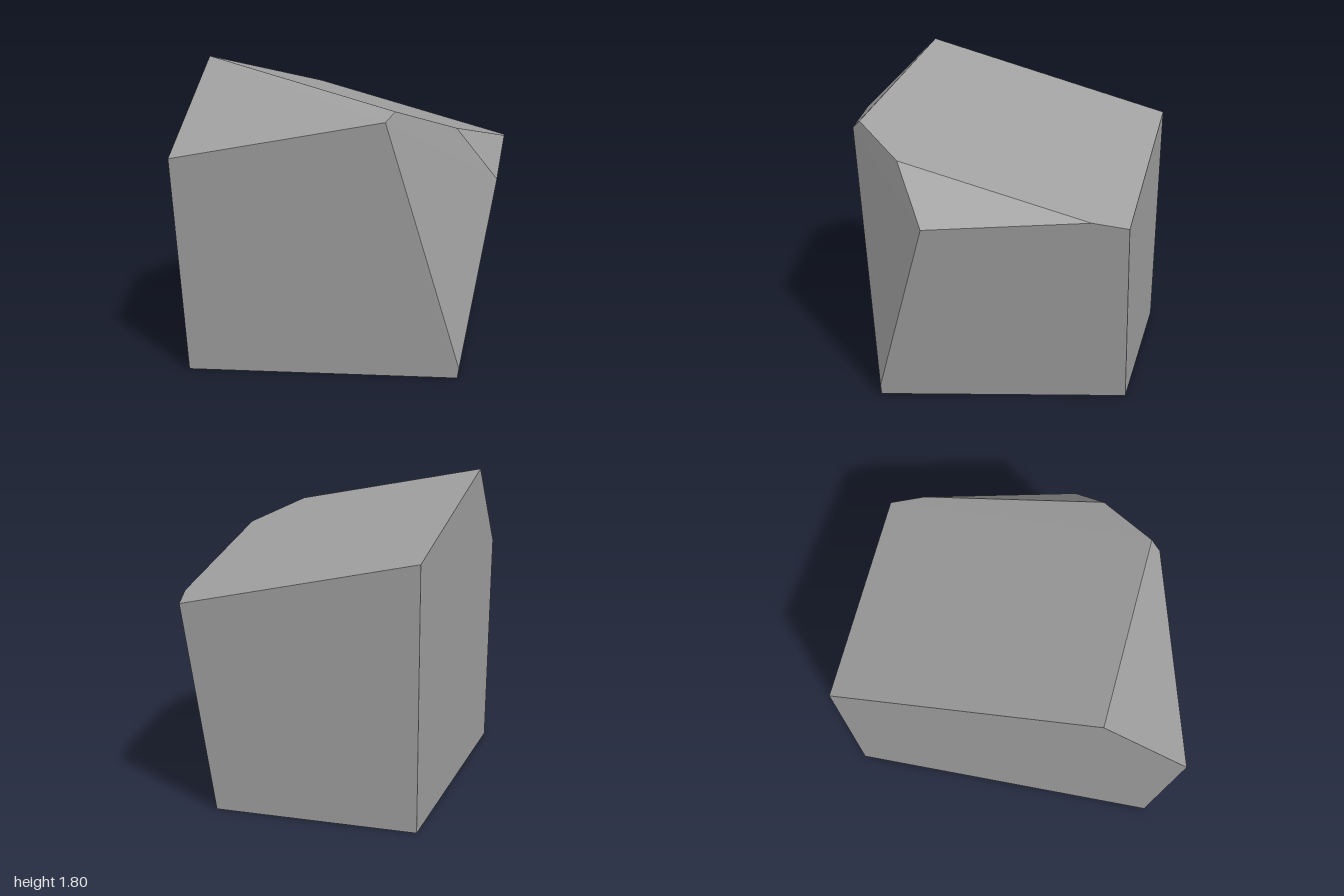
import * as THREE from 'three';
import { ConvexGeometry } from 'three/addons/geometries/ConvexGeometry.js';

export function createModel() {
  const group = new THREE.Group();
  group.name = 'rock';

  const stone = new THREE.MeshStandardMaterial({ color: 0xa0a0a0 });
  stone.name = 'grey stone';

  // Corners of the faceted boulder
  const corners = [
    // flat side: peak, front brow, front foot, back foot, back top
    [-0.81, 1.8, 0.51], [-0.81, 1.3, 1], [-0.81, 0, 0.88], [-0.81, 0, -1], [-0.81, 1.42, -1],
    // chipped rim of the sloping top, front to back
    [0.375, 1.58, 0.597], [0.34, 1.528, 0.653], [0.62, 1.45, 0.29],
    [0.805, 1.13, 0.1], [0.583, 1.183, -0.8], [0.525, 1.145, -1],
    // foot of the chipped side
    [0.7, 0.06, 0.402], [0.69, 0, 0.4], [0.327, 0, -1],
  ].map((p) => new THREE.Vector3(...p));

  // Hull facets carry their own normals, so every edge stays sharp
  const boulder = new THREE.Mesh(new ConvexGeometry(corners), stone);
  boulder.name = 'boulder';
  group.add(boulder);
  return group;
}
